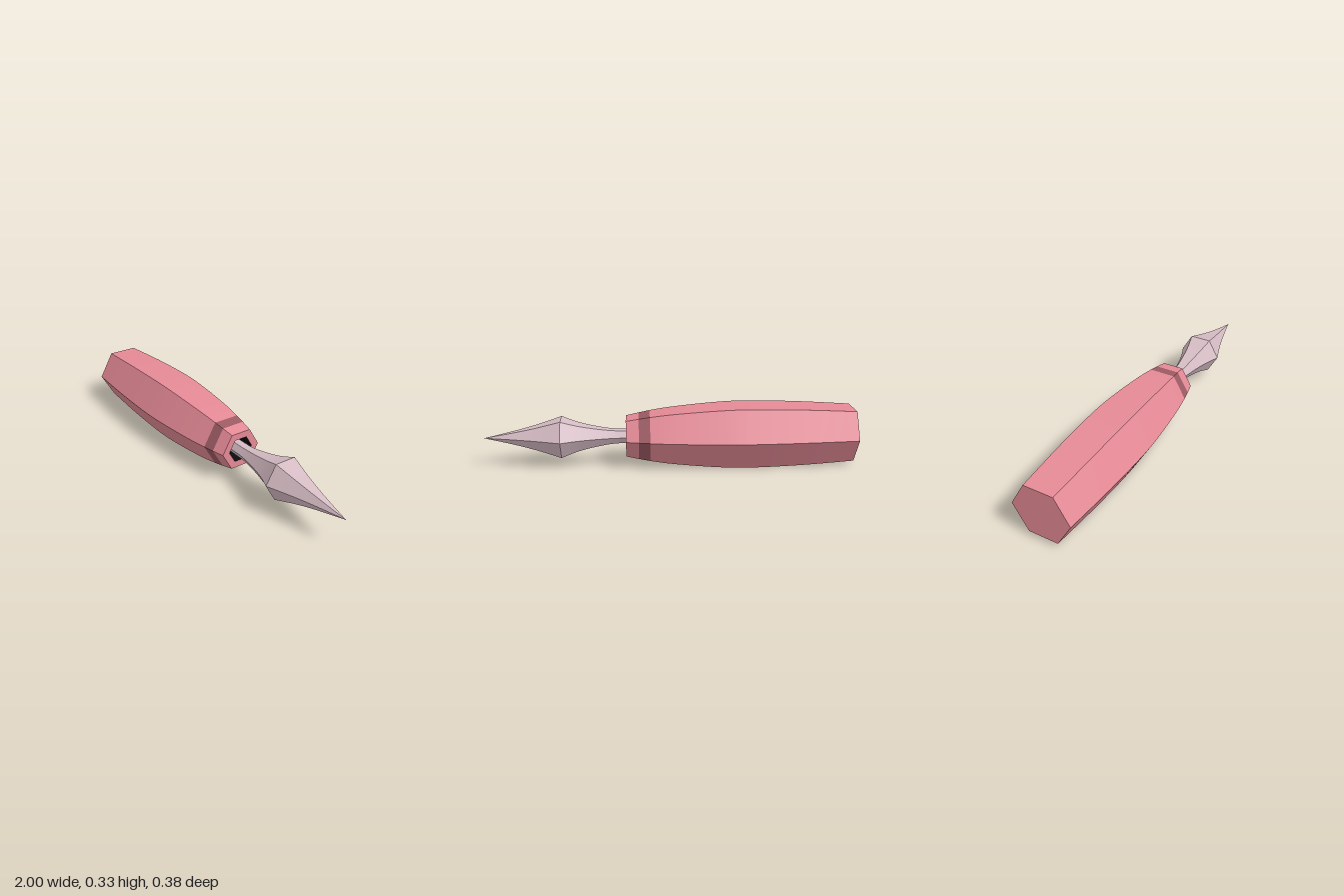
import * as THREE from 'three';
import { toCreasedNormals } from 'three/addons/utils/BufferGeometryUtils.js';

const AXIS_HEIGHT = 0.163;

// Six-sided solid around the x axis from [x, radius] pairs; corners point to +z and -z
function hexPart(name, profile, color) {
  const points = profile.map(([x, r]) => new THREE.Vector2(r, x));
  const lathe = new THREE.LatheGeometry(points, 6).rotateZ(-Math.PI / 2);
  const geometry = toCreasedNormals(lathe, 0.4);
  const mesh = new THREE.Mesh(geometry, new THREE.MeshStandardMaterial({ color }));
  mesh.name = name;
  mesh.position.y = AXIS_HEIGHT;
  return mesh;
}

// Smooth run of [x, radius] pairs through a few key points
function smoothRun(keys, steps) {
  const curve = new THREE.SplineCurve(keys.map(([x, r]) => new THREE.Vector2(x, r)));
  return curve.getPoints(steps).map((p) => [p.x, p.y]);
}

export function createModel() {
  const model = new THREE.Group();
  model.name = 'hexHandledTool';
  const pink = 0xe58a96, band = 0x9c5a63, dark = 0x0c0c0c, metal = 0xd6bcc4;

  // Swelling grip with a flat closed butt
  const grip = smoothRun([[-1, 0.161], [-0.7, 0.18], [-0.4, 0.188], [-0.2, 0.178], [0, 0.158], [0.11, 0.141]], 20);
  model.add(hexPart('handle', [[-1, 0], ...grip], pink));

  // Darker ring near the front, then the collar with its annular front face
  model.add(hexPart('gripBand', [[0.11, 0.141], [0.17, 0.129]], band));
  model.add(hexPart('collar', [[0.17, 0.129], [0.238, 0.114], [0.238, 0.072]], pink));

  // Dark socket sunk into the collar
  model.add(hexPart('socket', [[0.238, 0.072], [0.15, 0.072], [0.15, 0]], dark));

  // Thin neck flaring into a pointed head
  const neck = smoothRun([[0.15, 0.04], [0.24, 0.04], [0.31, 0.043], [0.4, 0.058], [0.5, 0.083], [0.585, 0.116]], 14);
  const point = smoothRun([[0.585, 0.116], [0.7, 0.077], [0.8, 0.048], [0.9, 0.023], [1, 0]], 10);
  model.add(hexPart('blade', [...neck, ...point.slice(1)], metal));

  return model;
}
